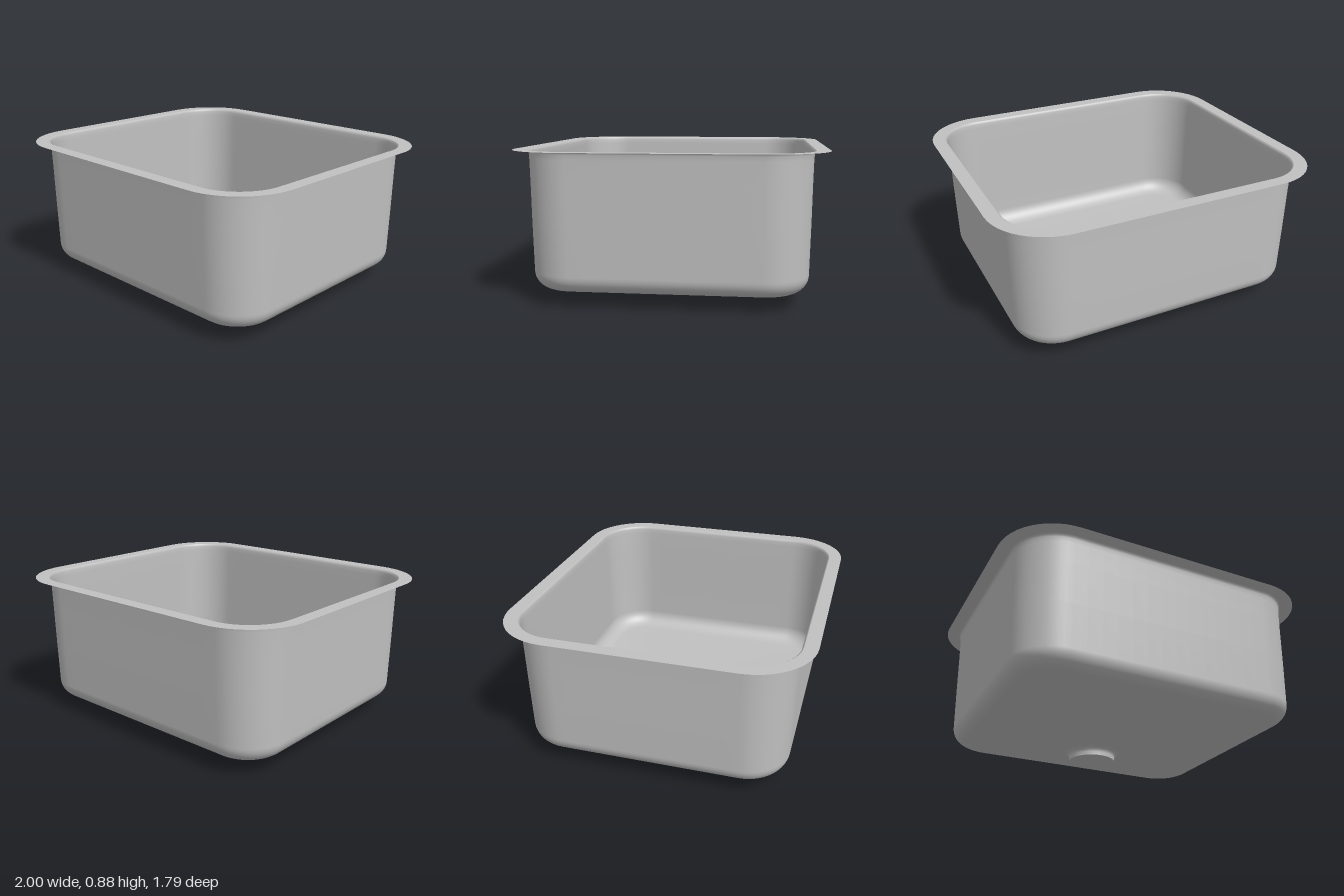
import * as THREE from 'three';

const TOP = 0.875, DRAIN_Z = -0.33, NECK_R = 0.15;

// Rounded-rectangle loop of (x, z) points; corners stay concentric as the half-width changes
function roundedLoop(half, sideSteps = 14, cornerSteps = 12) {
  const cx = 0.64, cz = 0.535, r = half - cx, pts = [];
  const corners = [[cx, cz], [-cx, cz], [-cx, -cz], [cx, -cz]];
  corners.forEach(([x, z], k) => {
    for (let i = 0; i <= cornerSteps; i++) {
      const a = (k + i / cornerSteps) * Math.PI / 2;
      pts.push(new THREE.Vector2(x + r * Math.cos(a), z + r * Math.sin(a)));
    }
    const last = pts[pts.length - 1], a = (k + 1) * Math.PI / 2;
    const [nx, nz] = corners[(k + 1) % 4];
    const next = new THREE.Vector2(nx + r * Math.cos(a), nz + r * Math.sin(a));
    for (let i = 1; i < sideSteps; i++) pts.push(last.clone().lerp(next, i / sideSteps));
  });
  return pts;
}

// Skin closed loops, each { pts, y }, from the outside in
function loft(loops) {
  const n = loops[0].pts.length, pos = [], index = [];
  loops.forEach(({ pts, y }) => pts.forEach(p => pos.push(p.x, y, p.y)));
  for (let i = 0; i < loops.length - 1; i++) {
    for (let j = 0; j < n; j++) {
      const a = i * n + j, b = i * n + (j + 1) % n, c = a + n, d = b + n;
      index.push(a, c, b, b, c, d);
    }
  }
  const g = new THREE.BufferGeometry();
  g.setAttribute('position', new THREE.Float32BufferAttribute(pos, 3));
  g.setIndex(index);
  g.computeVertexNormals();
  return g;
}

export function createModel() {
  const group = new THREE.Group();
  const steel = new THREE.MeshStandardMaterial({ color: 0xc0c0c0, side: THREE.DoubleSide });
  steel.name = 'brushed steel';
  const add = (name, geometry, x = 0, y = 0, z = 0) => {
    const mesh = new THREE.Mesh(geometry, steel);
    mesh.name = name;
    mesh.position.set(x, y, z);
    group.add(mesh);
  };

  // Flat rim
  const rim = new THREE.Shape(roundedLoop(1));
  rim.holes.push(new THREE.Path(roundedLoop(0.92)));
  add('rim', new THREE.ShapeGeometry(rim).rotateX(-Math.PI / 2).scale(1, 1, -1)
    .rotateX(0), 0, TOP, 0);

  // Walls: rolled lip, slight taper, bottom fillet
  const profile = [[0.92, TOP], [0.913, 0.87], [0.909, 0.858], [0.907, 0.83],
    [0.904, 0.7], [0.9, 0.45], [0.894, 0.182]];
  for (let i = 1; i <= 9; i++) {
    const a = i / 9 * Math.PI / 2;
    profile.push([0.794 + 0.1 * Math.cos(a), 0.182 - 0.1 * Math.sin(a)]);
  }
  const loops = profile.map(([half, y]) => ({ pts: roundedLoop(half), y }));

  // Floor falling towards the drain
  const edge = loops[loops.length - 1].pts;
  const centre = new THREE.Vector2(0, DRAIN_Z);
  const circle = r => edge.map(p => p.clone().sub(centre).setLength(r).add(centre));
  const mouth = circle(0.233);
  for (let i = 1; i <= 6; i++) {
    const t = i / 6;
    loops.push({ pts: edge.map((p, j) => p.clone().lerp(mouth[j], t)), y: 0.082 - 0.02 * t });
  }

  // Drain throat and neck
  [[0.208, 0.061], [0.188, 0.058], [0.172, 0.052], [0.16, 0.044], [0.153, 0.035],
    [NECK_R, 0.024], [NECK_R, 0]].forEach(([r, y]) => loops.push({ pts: circle(r), y }));
  add('bowl', loft(loops));

  // Closed underside of the drain
  add('drainBase', new THREE.CircleGeometry(NECK_R, 64).rotateX(Math.PI / 2), 0, 0, DRAIN_Z);

  // Perforated strainer
  const plate = new THREE.Shape().absarc(0, 0, NECK_R, 0, Math.PI * 2);
  const hole = (x, y, r) => plate.holes.push(new THREE.Path().absarc(x, y, r, 0, Math.PI * 2, true));
  hole(0, 0, 0.028);
  [[12, 0.066, 0.01], [18, 0.105, 0.012]].forEach(([count, radius, r]) => {
    for (let i = 0; i < count; i++) {
      const a = i / count * Math.PI * 2;
      hole(radius * Math.cos(a), radius * Math.sin(a), r);
    }
  });
  add('strainer', new THREE.ExtrudeGeometry(plate, { depth: 0.006, bevelEnabled: false, curveSegments: 24 })
    .rotateX(-Math.PI / 2), 0, 0.004, DRAIN_Z);

  return group;
}
